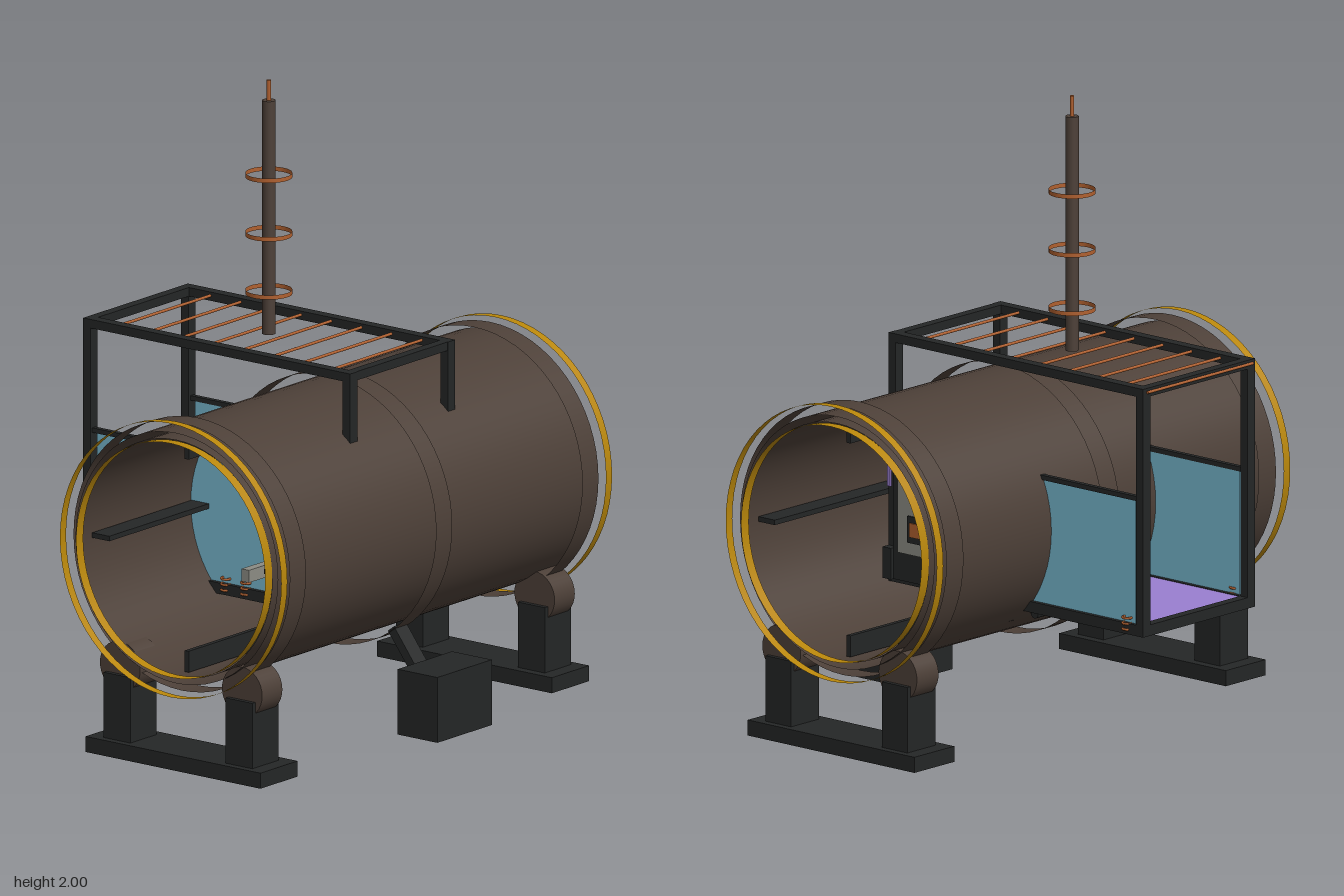
import * as THREE from 'three';

export function createModel() {
  const model = new THREE.Group();
  const mat = (name, color, side = THREE.FrontSide) => {
    const m = new THREE.MeshStandardMaterial({ color, side });
    m.name = name;
    return m;
  };
  const brown = mat('weathered brown', 0x4d4038, THREE.DoubleSide);
  const black = mat('dark iron', 0x242626);
  const gold = mat('gold', 0xb8860b, THREE.DoubleSide);
  const copper = mat('copper', 0xb0602f, THREE.DoubleSide);
  const blue = mat('blue glass', 0x78b9d0, THREE.DoubleSide);
  const purple = mat('purple', 0x9a7fd0);
  const grey = mat('grey', 0x8c8c84);

  const add = (name, geo, material, x = 0, y = 0, z = 0) => {
    const mesh = new THREE.Mesh(geo, material);
    mesh.name = name;
    mesh.position.set(x, y, z);
    model.add(mesh);
    return mesh;
  };
  // box given by its limits on each axis
  const box = (name, material, [x0, x1], [y0, y1], [z0, z1]) =>
    add(name, new THREE.BoxGeometry(x1 - x0, y1 - y0, z1 - z0), material,
      (x0 + x1) / 2, (y0 + y1) / 2, (z0 + z1) / 2);
  // mirrored limits for the two sides
  const span = (s, a, b) => (s > 0 ? [a, b] : [-b, -a]);

  const CY = 0.675, CZ = 0.147;
  // thin open sleeve around the barrel axis
  const sleeve = (name, material, r, x0, x1) =>
    add(name, new THREE.CylinderGeometry(r, r, x1 - x0, 64, 1, true).rotateZ(Math.PI / 2),
      material, (x0 + x1) / 2, CY, CZ);

  // barrel with straps and end rings
  sleeve('barrel', brown, 0.402, -0.79, 0.79);
  sleeve('barrelLiner', brown, 0.38, -0.79, 0.79);
  sleeve('centreStrap', brown, 0.43, -0.04, 0.04);
  for (const s of [-1, 1]) {
    sleeve('endStrap', brown, 0.43, ...span(s, 0.685, 0.765));
    sleeve('outerEndRing', gold, 0.44, ...span(s, 0.79, 0.82));
    sleeve('innerEndRing', gold, 0.376, ...span(s, 0.785, 0.82));
  }

  // four rails inside the barrel
  for (let i = 0; i < 4; i++) {
    const a = i * Math.PI / 2;
    const rail = add('innerRail', new THREE.BoxGeometry(1.48, 0.068, 0.016), black,
      0, CY + Math.cos(a) * 0.342, CZ + Math.sin(a) * 0.342);
    rail.rotation.x = a;
  }

  // cradles with rollers
  for (const s of [-1, 1]) {
    box('cradleBase', black, span(s, 0.63, 0.815), [0, 0.05], [-0.195, 0.5]);
    for (const z of [-0.09, 0.395]) {
      box('cradlePillar', black, span(s, 0.66, 0.79), [0.05, 0.26], [z - 0.053, z + 0.053]);
      add('roller', new THREE.CylinderGeometry(0.08, 0.08, 0.1, 32).rotateZ(Math.PI / 2),
        brown, s * 0.725, 0.285, z);
    }
  }

  // counterweight on its slanted arm
  box('counterweight', black, [-0.135, 0.135], [0.03, 0.24], [0.5, 0.658]);
  const arm = add('counterweightArm', new THREE.BoxGeometry(0.06, 0.2, 0.03), black, 0, 0.25, 0.45);
  arm.rotation.x = -0.65;

  // cabin frame
  for (const s of [-1, 1]) {
    const x = span(s, 0.225, 0.26);
    box('topBeam', black, x, [1.172, 1.2], [-0.65, 0.41]);
    box('bottomBeam', black, x, [0.405, 0.44], [-0.65, 0.41]);
    box('midRail', black, span(s, 0.235, 0.252), [0.835, 0.85], [-0.62, 0.38]);
    for (const z of [-0.65, 0.382]) box('post', black, x, [0.405, 1.2], [z, z + 0.03]);
    box('sideGlass', blue, span(s, 0.238, 0.246), [0.44, 0.836], [-0.605, 0.365]);
  }
  for (const z of [-0.65, 0.378]) {
    box('topCrossBeam', black, [-0.225, 0.225], [1.172, 1.2], [z, z + 0.032]);
    box('bottomCrossBeam', black, [-0.225, 0.225], [0.405, 0.44], [z, z + 0.032]);
  }
  box('floorPan', black, [-0.226, 0.226], [0.407, 0.43], [-0.62, 0.38]);
  box('floor', purple, [-0.226, 0.226], [0.43, 0.438], [-0.618, 0.378]);

  // roof slats
  for (let i = 0; i < 9; i++) {
    const w = i ? 0.228 : 0.245;
    add('roofSlat', new THREE.CylinderGeometry(0.005, 0.005, 2 * w, 8).rotateZ(Math.PI / 2),
      copper, 0, 1.188, -0.654 + i * 0.12);
  }

  // coil springs along the cabin floor
  for (const s of [-1, 1]) for (const z of [-0.575, -0.09, -0.01, 0.325])
    for (let i = 0; i < 3; i++)
      add('springCoil', new THREE.TorusGeometry(0.015, 0.004, 6, 16).rotateX(Math.PI / 2),
        copper, s * 0.25, 0.42 + i * 0.018, z);

  // hinge strip under the cabin
  box('hingeStrip', gold, [-0.2, 0.2], [0.385, 0.4], [-0.16, -0.14]);
  for (let i = 0; i < 6; i++)
    add('hingeKnuckle', new THREE.CylinderGeometry(0.015, 0.015, 0.035, 12).rotateZ(Math.PI / 2),
      black, -0.19 + i * 0.076, 0.385, -0.15);

  // control cabinet inside the barrel
  box('cabinet', black, [0.265, 0.32], [0.435, 0.94], [-0.035, 0.34]);
  box('cabinetPanel', grey, [0.32, 0.326], [0.525, 0.875], [-0.01, 0.315]);
  box('cabinetSlotFrame', black, [0.326, 0.332], [0.565, 0.65], [0.03, 0.27]);
  box('cabinetSlot', copper, [0.332, 0.337], [0.585, 0.63], [0.04, 0.258]);
  box('cabinetLatch', black, [0.27, 0.31], [0.53, 0.605], [-0.048, -0.035]);
  box('smallDisplay', purple, [0.262, 0.268], [0.71, 0.8], [0.398, 0.41]);
  box('smallDisplay', purple, [0.262, 0.268], [0.76, 0.85], [0.34, 0.355]);
  box('stand', black, [0.262, 0.29], [0.42, 0.52], [0.375, 0.41]);
  box('stand', black, [0.262, 0.29], [0.37, 0.485], [-0.115, -0.065]);
  box('shelf', grey, [-0.66, -0.47], [0.6, 0.64], [0.3, 0.33]);

  // mast with hoops
  add('mast', new THREE.CylinderGeometry(0.021, 0.021, 0.75, 24), brown, 0, 1.56, -0.12);
  add('mastTip', new THREE.CylinderGeometry(0.007, 0.007, 0.07, 12), copper, 0, 1.965, -0.12);
  for (const y of [1.32, 1.507, 1.695])
    add('mastHoop', new THREE.CylinderGeometry(0.073, 0.073, 0.014, 32, 1, true), copper, 0, y, -0.12);

  return model;
}
